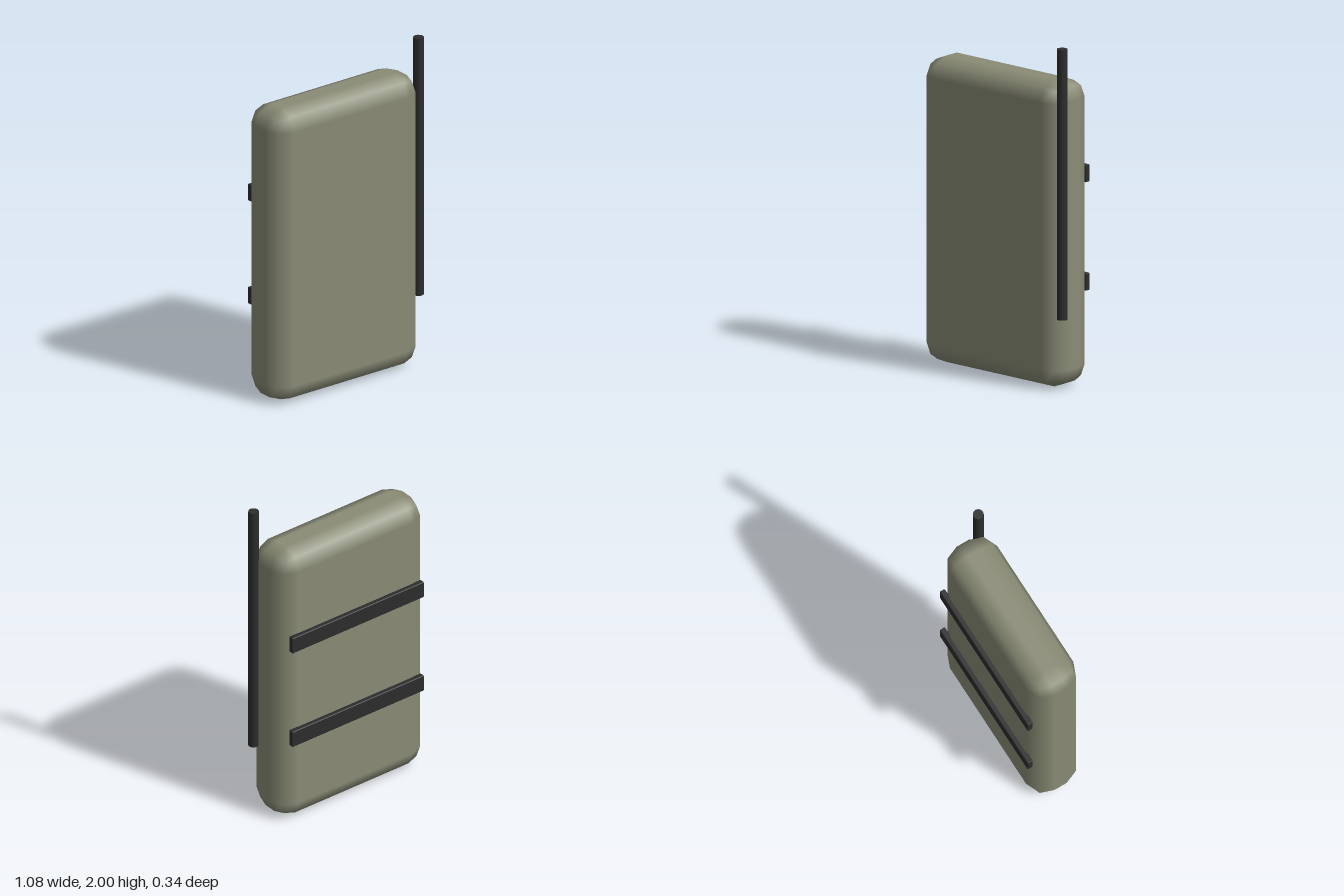
import * as THREE from 'three';
import { RoundedBoxGeometry } from 'three/addons/geometries/RoundedBoxGeometry.js';

export function createModel() {
  const group = new THREE.Group();
  const olive = new THREE.MeshStandardMaterial({ color: 0x8a8c76 });
  olive.name = 'olive';
  const black = new THREE.MeshStandardMaterial({ color: 0x2d2d2d });
  black.name = 'black';

  function add(name, geometry, material, x, y, z) {
    const mesh = new THREE.Mesh(geometry, material);
    mesh.name = name;
    mesh.position.set(x, y, z);
    group.add(mesh);
  }

  // Softly rounded pack with coarse two-step edges
  add('body', new RoundedBoxGeometry(1.052, 1.79, 0.315, 1, 0.117), olive, -0.018, 0.895, 0.0125);

  // Upright rod at the front corner
  add('antenna', new THREE.CylinderGeometry(0.031, 0.031, 1.577, 12), black, 0.509, 1.2115, 0.117);

  // Two flat straps across the back
  for (const [name, y] of [['lowerStrap', 0.582], ['upperStrap', 1.214]]) {
    add(name, new RoundedBoxGeometry(0.946, 0.102, 0.033, 1, 0.005), black, -0.017, y, -0.1555);
  }

  return group;
}
